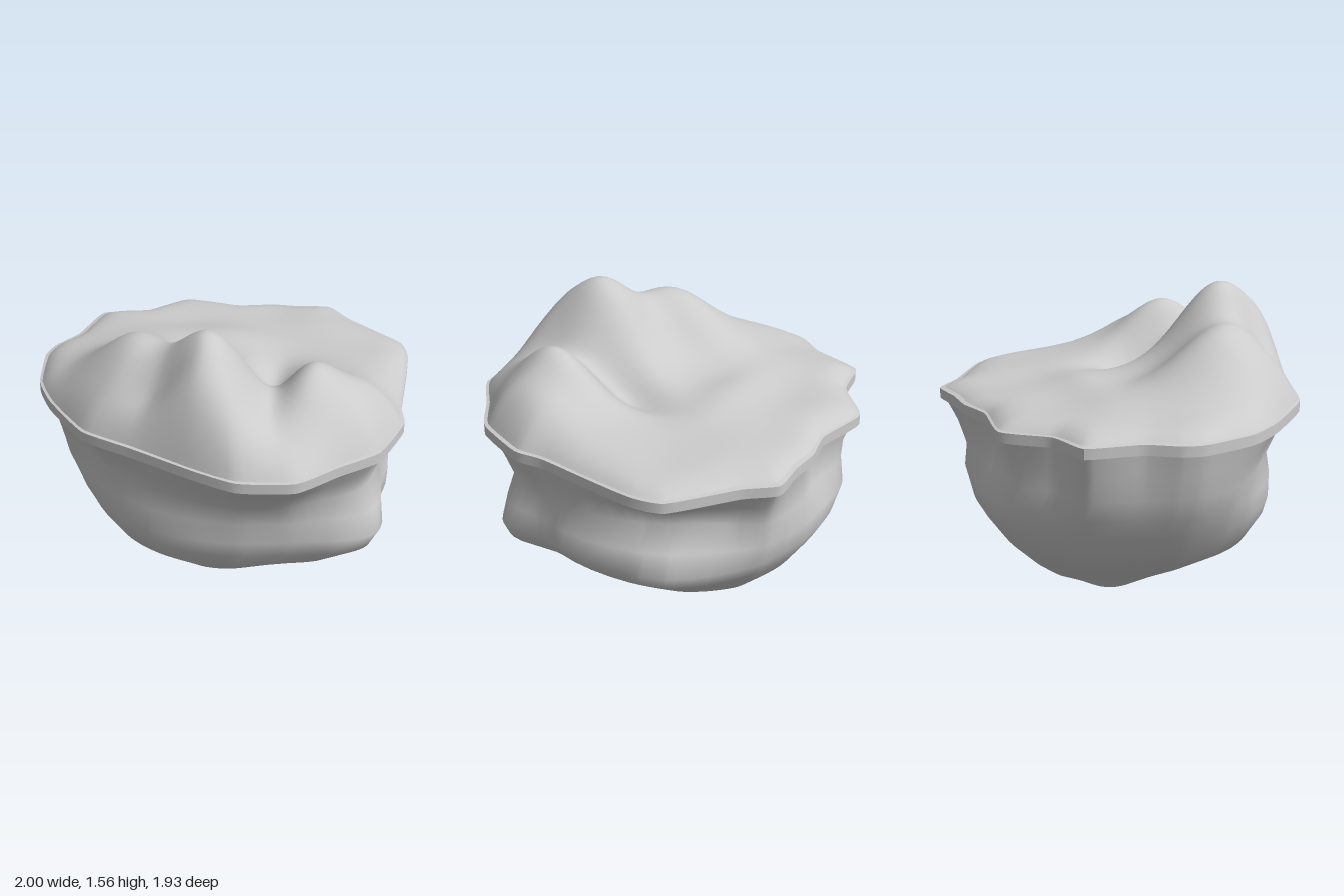
import * as THREE from 'three';
import { toCreasedNormals } from 'three/addons/utils/BufferGeometryUtils.js';

const SEGMENTS = 120;
// The shell is open underneath, so its inside shows too
const material = new THREE.MeshStandardMaterial({ color: 0xcccccc, side: THREE.DoubleSide });

// Plan outline of the island edge [x, z], running back, left, front, right
const OUTLINE = [
  [0.45, -0.97], [0.59, -0.84], [0.9, -0.63], [0.96, -0.45], [0.97, 0.08], [1, 0.25],
  [0.91, 0.55], [0.73, 0.72], [0.55, 0.9], [0.27, 0.96], [0.03, 0.9], [-0.29, 0.79],
  [-0.57, 0.69], [-0.82, 0.43], [-0.94, 0.24], [-1, -0.04], [-0.98, -0.16], [-0.89, -0.32],
  [-0.83, -0.6], [-0.6, -0.68], [-0.4, -0.89], [-0.09, -0.87], [0.1, -0.93], [0.27, -0.94],
];

// Rock profile: height, then reach towards +x, -x, +z, -z
const PROFILE = [
  [0.05, 0.43, 0.3, 0.41, 0.53], [0.12, 0.53, 0.42, 0.49, 0.62], [0.25, 0.7, 0.64, 0.64, 0.75],
  [0.38, 0.86, 0.73, 0.72, 0.84], [0.47, 0.92, 0.79, 0.73, 0.89], [0.6, 0.93, 0.87, 0.74, 0.93],
  [0.72, 0.89, 0.92, 0.76, 0.92], [0.85, 0.93, 0.95, 0.86, 0.93], [0.97, 0.97, 0.98, 0.95, 0.95],
];

// Rock bulges and hollows: angle from +x towards +z, height, spread in each, amount
const LUMPS = [
  [0.6, 0.36, 0.2, 0.22, 0.19], [0.25, 0.5, 0.12, 0.2, -0.03], [-0.65, 0.75, 0.28, 0.1, -0.14],
  [-0.7, 0.4, 0.3, 0.1, 0.04], [-1.75, 0.8, 0.25, 0.12, -0.07], [2.35, 0.77, 0.33, 0.12, -0.09],
];

// Terrain hills and hollows: x, z, spread in x, spread in z, height
const HILLS = [
  [0.03, 0.5, 0.18, 0.2, 0.42], [0.12, 0.8, 0.2, 0.14, 0.13], [-0.38, 0.32, 0.15, 0.24, 0.24],
  [-0.62, 0.3, 0.12, 0.2, 0.07], [0.53, 0.38, 0.11, 0.2, 0.22], [0.78, 0.35, 0.14, 0.25, 0.13],
  [0, 0.3, 0.6, 0.35, 0.06], [0.36, 0.5, 0.06, 0.25, -0.02], [0.29, 0.1, 0.08, 0.15, -0.1],
  [-0.2, 0.64, 0.12, 0.07, -0.06], [-0.1, -0.32, 0.3, 0.1, 0.03],
];

const rimPoints = new THREE.CatmullRomCurve3(
  OUTLINE.map(([x, z]) => new THREE.Vector3(x, 0, z)), true, 'catmullrom', 0.25,
).getPoints(SEGMENTS).slice(0, SEGMENTS);

// The top leans slightly and its right end sits low
const tilt = (x, z) => -0.01 * x + 0.01 * z - 0.02 * Math.max(0, -x - 0.7);

// Sum of bell-shaped bumps: centre (2), spread (2), amount
function bumps(list, a, b) {
  return list.reduce((sum, [ca, cb, sa, sb, amount]) =>
    sum + amount * Math.exp(-0.5 * (((a - ca) / sa) ** 2 + ((b - cb) / sb) ** 2)), 0);
}

// Closed skin through loops ordered from below, outwards and over the top
function loft(loops) {
  const n = SEGMENTS;
  const index = [];
  for (let i = 0; i < loops.length - 1; i++) {
    for (let j = 0; j < n; j++) {
      const k = (j + 1) % n;
      const a = i * n + j, b = i * n + k, c = a + n, d = b + n;
      index.push(a, c, b, b, c, d);
    }
  }
  const geometry = new THREE.BufferGeometry();
  geometry.setAttribute('position', new THREE.Float32BufferAttribute(loops.flat(2), 3));
  geometry.setIndex(index);
  geometry.computeVertexNormals();
  return geometry;
}

function addPart(group, name, geometry) {
  const mesh = new THREE.Mesh(geometry, material);
  mesh.name = name;
  group.add(mesh);
}

// One rock section: the rim outline squeezed to the reaches, rounder lower down
function rockLoop([y, px, nx, pz, nz]) {
  const round = Math.min(0.85, (0.97 - y) * 2);
  return rimPoints.map((p) => {
    const u = p.x;
    const v = p.z / (p.z > 0 ? 0.96 : 0.97);
    const swell = 1 + bumps(LUMPS, Math.atan2(v, u), y);
    const s = swell * (1 + round * (1 / Math.hypot(u, v) - 1));
    const x = u * s * (u > 0 ? px : nx);
    const z = v * s * (v > 0 ? pz : nz);
    // the lower lip hangs down at one side
    const dip = y < 0.1 ? 0.05 * Math.exp(-(((x + 0.28) / 0.14) ** 2) - ((z + 0.25) / 0.16) ** 2) : 0;
    return [x, y - dip + tilt(x, z) * y, z];
  });
}

// Hills with small weathered folds
function terrainHeight(x, z) {
  return 0.06 + bumps(HILLS, x, z) + 0.008 * Math.sin(9 * x + 4 * z) * Math.sin(7 * z - 3 * x + 1);
}

export function createModel() {
  const group = new THREE.Group();
  group.name = 'floatingIsland';

  // Rock underside, open at the bottom
  addPart(group, 'rockBody', loft(PROFILE.map(rockLoop)));

  // Thin rim ledge round the edge
  const ledge = [[0.95, 0.97], [1, 0.965], [1, 1.02], [0.95, 1.03]].map(([s, y]) =>
    rimPoints.map((p) => [
      p.x * s, y + tilt(p.x, p.z) + 0.005 * Math.sin(4 * Math.atan2(p.z, p.x)), p.z * s,
    ]));
  addPart(group, 'rimLedge', toCreasedNormals(loft(ledge), 0.6));

  // Hilly ground, in rings shrinking from the rim to the middle
  const rings = 56;
  const ground = [];
  for (let i = 0; i <= rings; i++) {
    const t = Math.max(0.001, 1 - i / rings);
    const edge = 1 - t ** 14;
    ground.push(rimPoints.map((p) => {
      const x = p.x * 0.985 * t;
      const z = p.z * 0.985 * t + 0.1 * (1 - t);
      return [x, 1.02 + tilt(x, z) + edge * terrainHeight(x, z), z];
    }));
  }
  addPart(group, 'hillyGround', loft(ground));

  return group;
}
